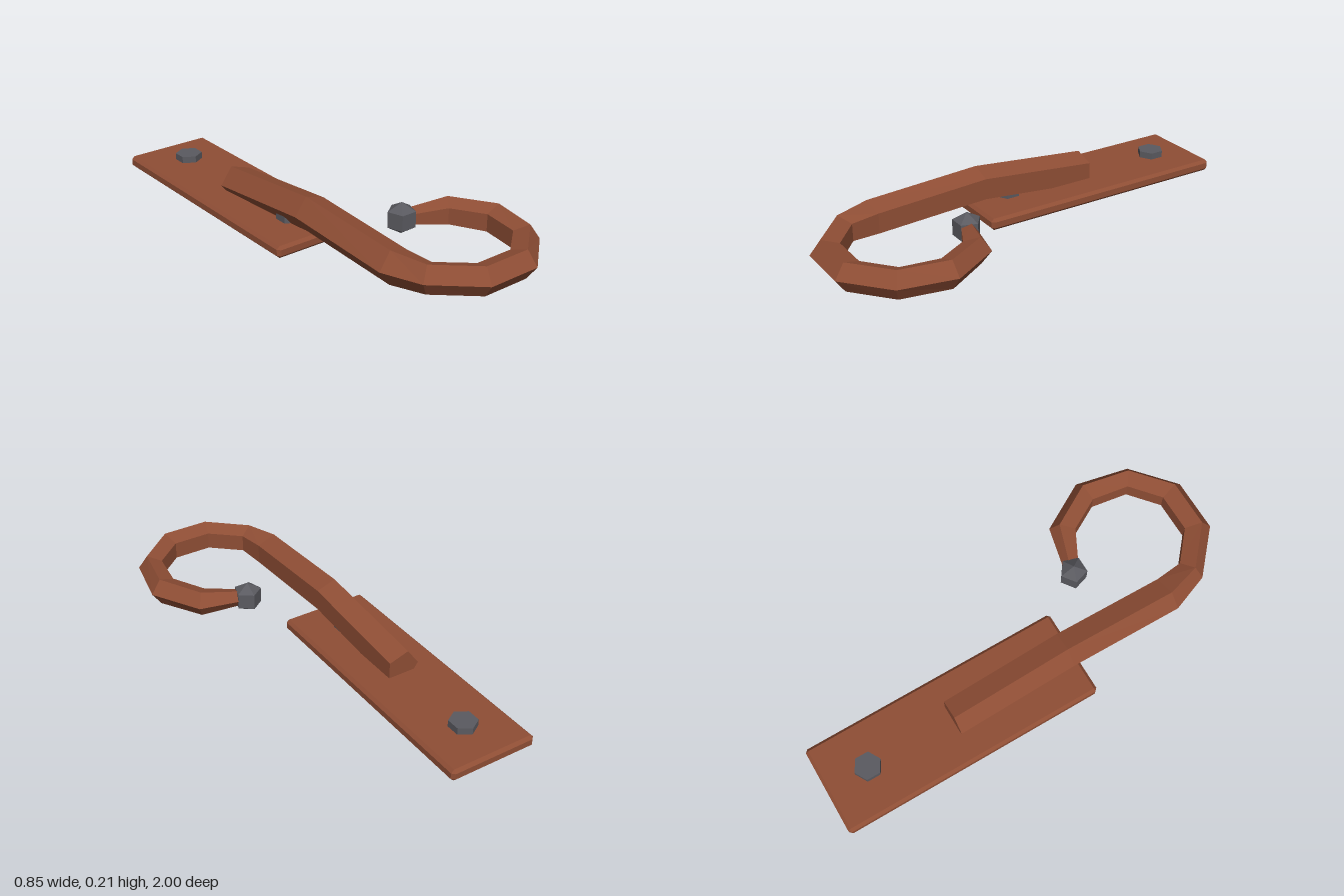
import * as THREE from 'three';
import { ConvexGeometry } from 'three/addons/geometries/ConvexGeometry.js';

// Box with every edge chamfered by c
function chamferBox(w, h, d, c) {
  const points = [];
  for (const sx of [-1, 1]) for (const sy of [-1, 1]) for (const sz of [-1, 1]) {
    for (let full = 0; full < 3; full++) {
      const size = [w, h, d].map((s, k) => s / 2 - (k === full ? 0 : c));
      points.push(new THREE.Vector3(sx * size[0], sy * size[1], sz * size[2]));
    }
  }
  return new ConvexGeometry(points);
}

// Five-sided bar lofted through stations [outerX, outerZ, innerX, innerZ, y, radius]
function pentagonBar(stations) {
  const rings = stations.map(([ox, oz, ix, iz, y, r]) => {
    const ring = [];
    for (let j = 0; j < 5; j++) {
      const a = (j / 5) * Math.PI * 2;
      const c36 = Math.cos(Math.PI / 5);
      const t = (Math.cos(a) + c36) / (1 + c36); // 0 on the inner flat, 1 on the outer ridge
      ring.push([ix + (ox - ix) * t, y + r * Math.sin(a), iz + (oz - iz) * t]);
    }
    return ring;
  });
  const pos = [];
  const tri = (a, b, c) => pos.push(...a, ...b, ...c);
  for (let i = 0; i < rings.length - 1; i++) {
    for (let j = 0; j < 5; j++) {
      const k = (j + 1) % 5;
      tri(rings[i][j], rings[i + 1][j], rings[i][k]);
      tri(rings[i][k], rings[i + 1][j], rings[i + 1][k]);
    }
  }
  const last = rings[rings.length - 1];
  for (let j = 1; j < 4; j++) {
    tri(rings[0][0], rings[0][j], rings[0][j + 1]);
    tri(last[0], last[j + 1], last[j]);
  }
  const geometry = new THREE.BufferGeometry();
  geometry.setAttribute('position', new THREE.Float32BufferAttribute(pos, 3));
  geometry.computeVertexNormals();
  return geometry;
}

export function createModel() {
  const rust = new THREE.MeshStandardMaterial({ color: 0x8f4e35, flatShading: true });
  rust.name = 'rusty brown';
  const iron = new THREE.MeshStandardMaterial({ color: 0x5a5a60, flatShading: true });
  iron.name = 'dark iron';

  const model = new THREE.Group();
  model.name = 'wallHook';
  const add = (name, geometry, material, x = 0, y = 0, z = 0) => {
    const mesh = new THREE.Mesh(geometry, material);
    mesh.name = name;
    mesh.position.set(x, y, z);
    model.add(mesh);
    return mesh;
  };

  // Mounting plate
  add('mountingPlate', chamferBox(0.4, 0.053, 1.19, 0.013), rust, -0.225, 0.0265, -0.405);

  // Hexagonal bolts, one near each end of the plate
  for (const [name, z] of [['backBolt', -0.805], ['frontBolt', -0.005]]) {
    add(name, new THREE.CylinderGeometry(0.06, 0.06, 0.04, 6), iron, -0.225, 0.063, z);
  }

  // Hook: straight shank rising off the plate, then a curl that tapers to the tip
  add('hook', pentagonBar([
    [-0.305, -0.405, -0.16, -0.405, 0.08, 0.08],
    [-0.305, 0.14, -0.16, 0.14, 0.134, 0.08],
    [-0.305, 0.665, -0.16, 0.65, 0.108, 0.077],
    [-0.24, 0.835, -0.145, 0.775, 0.108, 0.066],
    [-0.055, 1.0, -0.018, 0.885, 0.108, 0.066],
    [0.185, 1.0, 0.155, 0.885, 0.108, 0.066],
    [0.37, 0.84, 0.28, 0.78, 0.108, 0.066],
    [0.42, 0.6, 0.305, 0.615, 0.108, 0.066],
    [0.295, 0.385, 0.225, 0.475, 0.108, 0.062],
    [0.11, 0.342, 0.088, 0.405, 0.108, 0.038],
  ]), rust);

  // Faceted knob on the tip
  add('tipKnob', new THREE.SphereGeometry(0.07, 5, 3), iron, 0.065, 0.108, 0.365)
    .rotation.y = -Math.PI / 2;

  return model;
}
